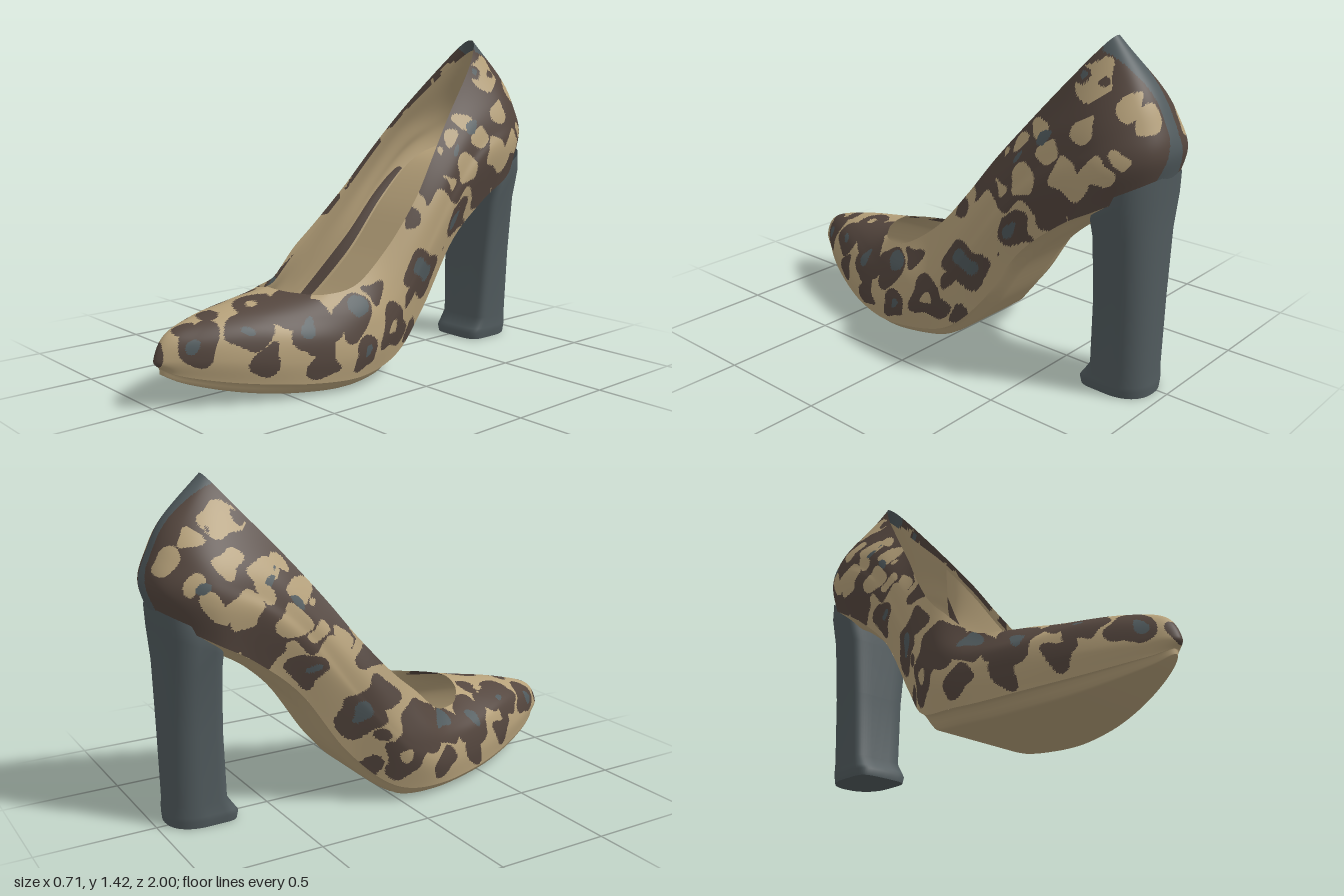
import * as THREE from 'three';

const mat = (name, color, side) => {
  const m = new THREE.MeshStandardMaterial({ color, side });
  m.name = name;
  return m;
};
const step = THREE.MathUtils.smoothstep;

// Profile lines from heel centre to toe centre: half width, y, z
const feather = [[0, .90, -.97], [.13, .87, -.925], [.22, .79, -.78], [.22, .695, -.62], [.215, .525, -.42], [.235, .245, -.22],
  [.29, .08, -.03], [.33, .05, .2], [.285, .06, .45], [.185, .09, .7], [.075, .13, .9], [0, .16, .975]];
const lower = [[0, 1.02, -.998], [.14, 1.0, -.955], [.24, .95, -.8], [.26, .88, -.6], [.265, .7, -.4], [.28, .45, -.2],
  [.33, .22, 0], [.35, .15, .18], [.295, .15, .44], [.195, .18, .7], [.085, .2, .9], [0, .2, 1]];
const middle = [[0, 1.13, -.965], [.125, 1.11, -.925], [.225, 1.05, -.79], [.245, .95, -.57], [.265, .76, -.37], [.285, .52, -.19],
  [.33, .3, 0], [.345, .23, .17], [.285, .24, .43], [.185, .275, .67], [.085, .28, .86], [0, .295, .94]];
const upper = [[0, 1.26, -.89], [.1, 1.23, -.86], [.185, 1.15, -.74], [.22, 1.02, -.52], [.255, .82, -.34], [.28, .6, -.17],
  [.31, .4, 0], [.325, .32, .17], [.255, .315, .4], [.16, .335, .6], [.07, .345, .74], [0, .35, .77]];
const rim = [[0, 1.425, -.73], [.045, 1.395, -.705], [.1, 1.28, -.61], [.155, 1.1, -.455], [.205, .91, -.3], [.245, .725, -.16],
  [.27, .55, 0], [.27, .425, .18], [.225, .395, .33], [.13, .4, .42], [.06, .405, .45], [0, .408, .455]];
const profiles = [feather, lower, middle, upper, rim];

const spline = (a, b, c, d, t) => a.map((_, k) => b[k] + .5 * t * (c[k] - a[k]
  + t * (2 * a[k] - 5 * b[k] + 4 * c[k] - d[k] + t * (3 * (b[k] - c[k]) + d[k] - a[k]))));

// Point along one profile, mirrored past the heel and toe
function along(row, s) {
  const n = row.length - 1, f = s * n, i = Math.min(Math.floor(f), n - 1);
  const at = k => k < 0 ? [-row[1][0], row[1][1], row[1][2]]
    : k > n ? [-row[n - 1][0], row[n - 1][1], row[n - 1][2]] : row[k];
  return spline(at(i - 1), at(i), at(i + 1), at(i + 2), f - i);
}

// Upper surface: t runs heel, -x side, toe (1), +x side, heel (2); v runs from sole to rim
function wall(t, v) {
  t = ((t % 2) + 2) % 2;
  const s = t < 1 ? t : 2 - t, p = profiles.map(r => along(r, s));
  const f = v * 4, i = Math.min(Math.floor(f), 3);
  const at = k => k < 0 ? p[0].map((c, j) => 2 * c - p[1][j]) : k > 4 ? p[4].map((c, j) => 2 * c - p[3][j]) : p[k];
  const [x, y, z] = spline(at(i - 1), at(i), at(i + 1), at(i + 2), f - i);
  const centre = .025 - .035 * Math.exp(-(((z - .02) / .2) ** 2)) + .025 * step(y, 1, 1.4);
  const dip = t < 1 ? .16 * x * step(v, .5, 1) * step(z, .05, .25) : 0;
  return new THREE.Vector3((t < 1 ? -x : x) + centre, y - dip, z);
}

function inner(t, v, thick = .014) {
  const e = .004, p = wall(t, v), lo = Math.max(v - e, 0), hi = Math.min(v + e, 1);
  const n = wall(t + e, v).sub(wall(t - e, v)).cross(wall(t, hi).sub(wall(t, lo))).normalize();
  return p.addScaledVector(n, -thick * (1 - v ** 10));
}

// Grid surface with optional closed loop and colour picked per triangle
function grid(name, point, nu, nv, material, { closed = false, flip = false, pick = null } = {}) {
  const pts = [], cols = closed ? nu : nu + 1;
  for (let i = 0; i < cols; i++) for (let j = 0; j <= nv; j++) pts.push(point(i / nu, j / nv));
  const sets = pick ? material.map(() => []) : [[]];
  const add = (a, b, c) => {
    const k = pick ? pick(pts[a].clone().add(pts[b]).add(pts[c]).divideScalar(3)) : 0;
    sets[k].push(...(flip ? [a, c, b] : [a, b, c]));
  };
  for (let i = 0; i < nu; i++) for (let j = 0; j < nv; j++) {
    const a = i * (nv + 1) + j, b = ((i + 1) % cols) * (nv + 1) + j;
    add(a, b, b + 1);
    add(a, b + 1, a + 1);
  }
  const g = new THREE.BufferGeometry().setFromPoints(pts);
  g.setIndex(sets.flat());
  if (pick) {
    let start = 0;
    sets.forEach((s, k) => { g.addGroup(start, s.length, k); start += s.length; });
  }
  g.computeVertexNormals();
  const mesh = new THREE.Mesh(g, material);
  mesh.name = name;
  return mesh;
}

// Animal print: x (half width for paired spots), y, z, radius
const darkSpots = [[.1, .27, .86, .09], [.17, .31, .68, .095], [.22, .18, .62, .065], [.2, .35, .54, .075], [.27, .28, .42, .105],
  [.3, .14, .4, .07], [.31, .3, .24, .09], [.34, .14, .2, .07], [.33, .22, .01, .1], [.28, .16, -.13, .055],
  [.28, .42, -.18, .11], [.31, .33, -.08, .045], [.26, .64, -.42, .08], [.27, .66, -.13, .06], [.22, .52, -.3, .03], [.24, .74, -.6, .08]];
const singleDarkSpots = [[-.13, .35, .66, .095], [-.08, .36, .52, .05], [.1, .37, .58, .085], [.02, .2, 1, .05], [.03, .33, .78, .05],
  [.18, .38, .46, .08], [-.2, .35, .42, .07], [-.33, .33, .08, .12], [-.3, .5, -.1, .08], [.3, .38, .12, .05], [.05, .31, .9, .045]];
const tanSpots = [[.26, .95, -.32, .06], [.25, .84, -.47, .07], [.25, .91, -.68, .08], [.24, .94, -.8, .06], [.2, 1.1, -.72, .055],
  [.13, 1.27, -.7, .09], [.1, 1.13, -.93, .06], [.2, 1.02, -.87, .04], [.22, 1.08, -.48, .06], [.13, 1.2, -.86, .055],
  [.33, .22, .01, .045], [.08, .36, .58, .025], [.24, .99, -.58, .05], [.24, 1.0, -.4, .045], [.25, .8, -.36, .04]];
const singleTanSpots = [[-.2, 1.08, -.57, .075], [-.2, .98, -.42, .06], [-.24, .76, -.26, .05]];
const innerDarkSpots = [[.13, 1.28, -.64, .045], [.13, 1.25, -.76, .025]];
const greySpots = [[.1, .26, .88, .035], [.27, .3, .44, .04], [.31, .33, .22, .045], [.28, .44, -.18, .05], [.26, .64, -.4, .035],
  [.23, 1.05, -.53, .04], [.13, 1.29, -.64, .022], [.26, .93, -.43, .03], [.34, .14, .2, .025], [.2, 1, -.82, .025], [.17, .32, .68, .03]];

function printColour(p) {
  const { x, y, z } = p;
  const strip = .03 + .25 * Math.max(0, 1.08 - y) + .025 * step(y, 1.2, 1.4);
  if (z < -.7 && Math.abs(x - .035 - .02 * step(y, 1.1, 1.4)) < strip) return 2;
  const wx = .015 * Math.sin(31 * y + 9 * x), wy = .018 * Math.sin(37 * z + 11 * x), wz = .018 * Math.sin(41 * y + 23 * z + 7 * x);
  const hit = (list, px) => list.some(s => Math.hypot(px + wx - s[0], y + wy - s[1], z + wz - s[2]) < s[3]);
  const side = Math.abs(x - .02);
  if (hit(greySpots, side)) return 2;
  if (hit(innerDarkSpots, side)) return 1;
  if (hit(tanSpots, side) || hit(singleTanSpots, x)) return 0;
  if (hit(darkSpots, side) || hit(singleDarkSpots, x)) return 1;
  return z + wz < -.2 && y + 2 * wy > .74 ? 1 : 0;
}

export function createModel() {
  const group = new THREE.Group();
  const tan = mat('tan', 0xb6a17a, THREE.DoubleSide), brown = mat('dark brown', 0x54463e, THREE.DoubleSide);
  const grey = mat('slate grey', 0x515b5e, THREE.DoubleSide);
  const print = [tan, brown, grey];

  // Printed upper, its turned-in edge and the lining
  group.add(grid('upper', (u, v) => wall(u * 2, v), 560, 72, print, { closed: true, pick: printColour }));
  group.add(grid('turnedEdge', (u, v) => inner(u * 2, .94 + .06 * v), 300, 3, print, { closed: true, flip: true, pick: printColour }));
  group.add(grid('lining', (u, v) => inner(u * 2, .12 + .82 * v), 160, 28, tan, { closed: true, flip: true }));
  group.add(grid('liningSeam', (u, v) => inner(.3 + .33 * u, .2 + .15 * v * Math.sin(Math.PI * u) ** .5, .02), 60, 4, brown, { flip: true }));

  // Insole and outsole span between the two sides; the arch is rounded, the forefoot is a stepped plate
  const span = (s, v, w) => wall(s, v).lerp(wall(2 - s, v), w);
  group.add(grid('insole', (s, w) => span(s, .19, w), 90, 12, tan));
  group.add(grid('outsole', (s, w) => {
    const edge = 1 - Math.abs(2 * w - 1), p = span(s, 0, w), fore = step(s, .46, .58);
    const depth = (.045 + .005 * fore - .03 * step(s, .75, 1)) * step(s, 0, .16);
    p.y = Math.max(0, p.y - depth * step(edge, .05 * fore, .5 - .3 * fore));
    return p;
  }, 100, 48, tan, { flip: true }));

  // Sagging fold of lining on the +x side, with a printed lip
  const fold = new THREE.CatmullRomCurve3([[.22, .84, -.47], [.165, .7, -.38], [.125, .56, -.28], [.1, .45, -.18], [.17, .41, -.05], [.26, .41, .1]]
    .map(p => new THREE.Vector3(...p)));
  const foldPoint = (u, v) => {
    const p = fold.getPoint(u).lerp(inner(2 - (.28 + .34 * u), .9), v);
    p.y -= .03 * Math.sin(Math.PI * v) * Math.sin(Math.PI * u);
    return p;
  };
  group.add(grid('liningFold', (u, v) => foldPoint(u, .3 + .7 * v), 40, 8, tan));
  [[0, .38, brown], [.38, .68, grey], [.68, 1, brown]].forEach(([a, b, m]) =>
    group.add(grid('foldLip', (u, v) => foldPoint(a + (b - a) * u, .3 * v), 14, 3, m)));

  // Block heel: y at front, y at back, front z, back z, half width
  const sections = [[0, 0, -.665, -.953, .13], [.03, .03, -.66, -.956, .136], [.05, .05, -.675, -.956, .136], [.1, .1, -.708, -.952, .132],
    [.4, .4, -.72, -.955, .145], [.66, .68, -.722, -.958, .17], [.73, .83, -.722, -.968, .195], [.79, .925, -.725, -.974, .19]];
  const heelPoint = (u, k) => {
    const [yf, yb, zf, zb, hw] = sections[k], a = u * Math.PI * 2, front = Math.cos(a) > 0;
    const power = (q, e) => Math.sign(q) * Math.abs(q) ** e;
    const q = (1 - power(Math.cos(a), front ? .3 : .9)) / 2;
    return new THREE.Vector3(.03 + hw * power(Math.sin(a), front ? .5 : .85), yf + (yb - yf) * q, zf + (zb - zf) * q);
  };
  const n = sections.length - 1;
  group.add(grid('heel', (u, v) => heelPoint(u, Math.round(v * n)), 48, n, grey, { closed: true }));
  group.add(grid('heelTip', (u, v) => new THREE.Vector3(.03, 0, -.81).lerp(heelPoint(u, 0), v), 48, 1, grey, { closed: true }));
  return group;
}
